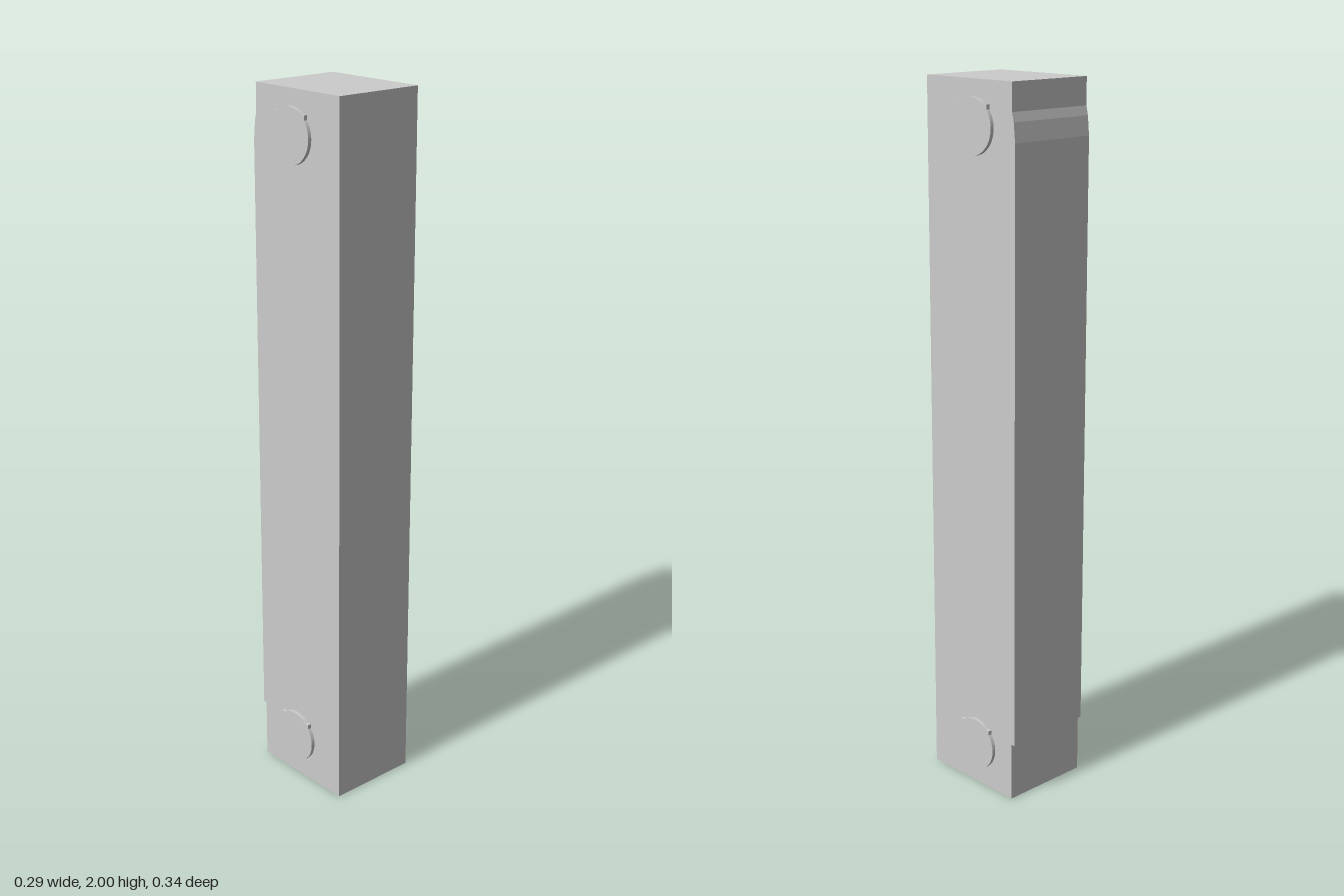
import * as THREE from 'three';

const material = new THREE.MeshStandardMaterial({ color: 0xcccccc, flatShading: true });

function addMesh(group, geometry, name) {
  const mesh = new THREE.Mesh(geometry, material);
  mesh.name = name;
  group.add(mesh);
  return mesh;
}

// Outline of a square whose four sides bulge out as arcs of one circle
function bossShape(half, radius) {
  const shape = new THREE.Shape();
  const spread = Math.acos(half / radius);
  for (let i = 0; i < 4; i++) {
    const mid = i * Math.PI / 2;
    const corner = mid - Math.PI / 4;
    const r = half * Math.SQRT2;
    const x = r * Math.cos(corner), y = r * Math.sin(corner);
    if (i === 0) shape.moveTo(x, y);
    else shape.lineTo(x, y);
    shape.absarc(0, 0, radius, mid - spread, mid + spread, false);
  }
  shape.closePath();
  return shape;
}

export function createModel() {
  const model = new THREE.Group();
  model.name = 'post';

  // Side profile (shape x = -z): a raised back panel with a sloped top and a stepped foot
  const profile = new THREE.Shape([
    [-0.168, 0], [0.157, 0], [0.157, 0.17], [0.168, 0.17],
    [0.168, 1.848], [0.163, 1.9], [0.157, 1.925], [0.157, 2], [-0.168, 2],
  ].map(([x, y]) => new THREE.Vector2(x, y)));
  const width = 0.267;
  const body = new THREE.ExtrudeGeometry(profile, { depth: width, bevelEnabled: false });
  body.translate(0, 0, -width / 2).rotateY(Math.PI / 2);
  addMesh(model, body, 'body');

  // Flat bosses near both ends of each side
  const boss = new THREE.ExtrudeGeometry(bossShape(0.059, 0.075), {
    depth: 0.012, bevelEnabled: false, curveSegments: 8,
  });
  for (const side of [1, -1]) {
    for (const [y, label] of [[0.125, 'lower'], [1.88, 'upper']]) {
      const mesh = addMesh(model, boss, `${label}${side > 0 ? 'Left' : 'Right'}Boss`);
      mesh.position.set(side * 0.132, y, -0.014);
      mesh.rotation.y = side * Math.PI / 2;
    }
  }
  return model;
}
